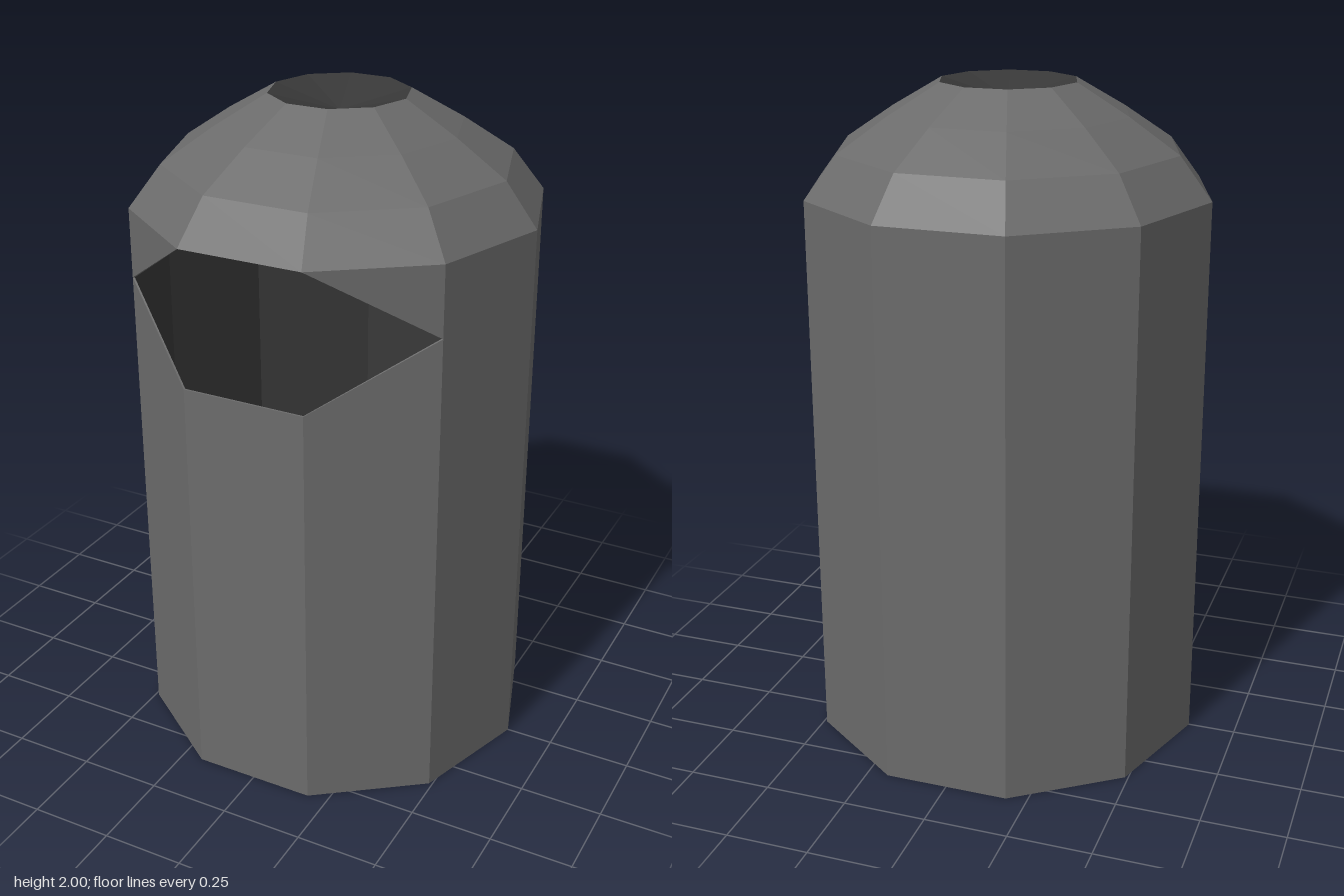
import * as THREE from 'three';

const SIDES = 10, R = 0.606, INNER = 0.6, SHOULDER = 1.685;
const START = Math.PI / SIDES;

const bodyGrey = new THREE.MeshStandardMaterial({ name: 'bodyGrey', color: 0x6b6b6b });
const darkInside = new THREE.MeshStandardMaterial({ name: 'darkInside', color: 0x383838 });

// Heights of the opening's lower and upper edge at each corner of the decagon
const isFront = (i) => i % SIDES === 0 || i % SIDES === SIDES - 1;
const lowEdge = (i) => (isFront(i) ? 1.275 : 1.475);
const highEdge = (i) => (isFront(i) ? SHOULDER : 1.475);

function corner(i, radius, y) {
  const a = START + (i * 2 * Math.PI) / SIDES;
  return [radius * Math.sin(a), y, radius * Math.cos(a)];
}

function add(group, name, geometry, material) {
  const flat = geometry.index ? geometry.toNonIndexed() : geometry;
  flat.computeVertexNormals();
  const mesh = new THREE.Mesh(flat, material);
  mesh.name = name;
  group.add(mesh);
}

function quads(list, inward = false) {
  const p = [];
  for (const [a, b, c, d] of list) {
    if (inward) p.push(...a, ...c, ...b, ...a, ...d, ...c);
    else p.push(...a, ...b, ...c, ...a, ...c, ...d);
  }
  const g = new THREE.BufferGeometry();
  g.setAttribute('position', new THREE.Float32BufferAttribute(p, 3));
  return g;
}

// Ten-sided wall in a lower and an upper band, which part at the front opening
function wall(radius, base, inward) {
  const list = [];
  for (let i = 0; i < SIDES; i++) {
    const j = i + 1;
    list.push([corner(i, radius, base), corner(j, radius, base),
      corner(j, radius, lowEdge(j)), corner(i, radius, lowEdge(i))]);
    if (i !== SIDES - 1) {
      list.push([corner(i, radius, highEdge(i)), corner(j, radius, highEdge(j)),
        corner(j, radius, SHOULDER), corner(i, radius, SHOULDER)]);
    }
  }
  return quads(list, inward);
}

// Thin rim joining the outer and inner wall around the opening
function openingRim() {
  const list = [];
  for (const i of [8, 9, 10]) {
    for (const [edge, flip] of [[lowEdge, false], [highEdge, true]]) {
      const q = [corner(i, R, edge(i)), corner(i + 1, R, edge(i + 1)),
        corner(i + 1, INNER, edge(i + 1)), corner(i, INNER, edge(i))];
      list.push(flip ? q.reverse() : q);
    }
  }
  return quads(list);
}

function lathe(points) {
  return new THREE.LatheGeometry(points.map(([r, y]) => new THREE.Vector2(r, y)), SIDES, START);
}

export function createModel() {
  const model = new THREE.Group();
  model.name = 'litterBin';

  // Outside
  add(model, 'outerWall', wall(R, 0, false), bodyGrey);
  add(model, 'openingRim', openingRim(), bodyGrey);
  add(model, 'domeLid', lathe([[R, SHOULDER], [0.51, 1.81], [0.36, 1.91], [0.205, 2]]), bodyGrey);
  add(model, 'base', lathe([[0, 0], [R, 0]]), bodyGrey);

  // Shallow dish in the top of the lid
  add(model, 'topDish', lathe([[0.205, 2], [0, 1.945]]), darkInside);

  // Hollow inside
  add(model, 'innerWall', wall(INNER, 0.02, true), darkInside);
  add(model, 'innerFloor', lathe([[INNER, 0.02], [0, 0.02]]), darkInside);
  add(model, 'innerCeiling', lathe([[0, 1.92], [0.2, 1.92], [0.35, 1.89], [0.5, 1.8], [R, SHOULDER]]), darkInside);

  return model;
}
